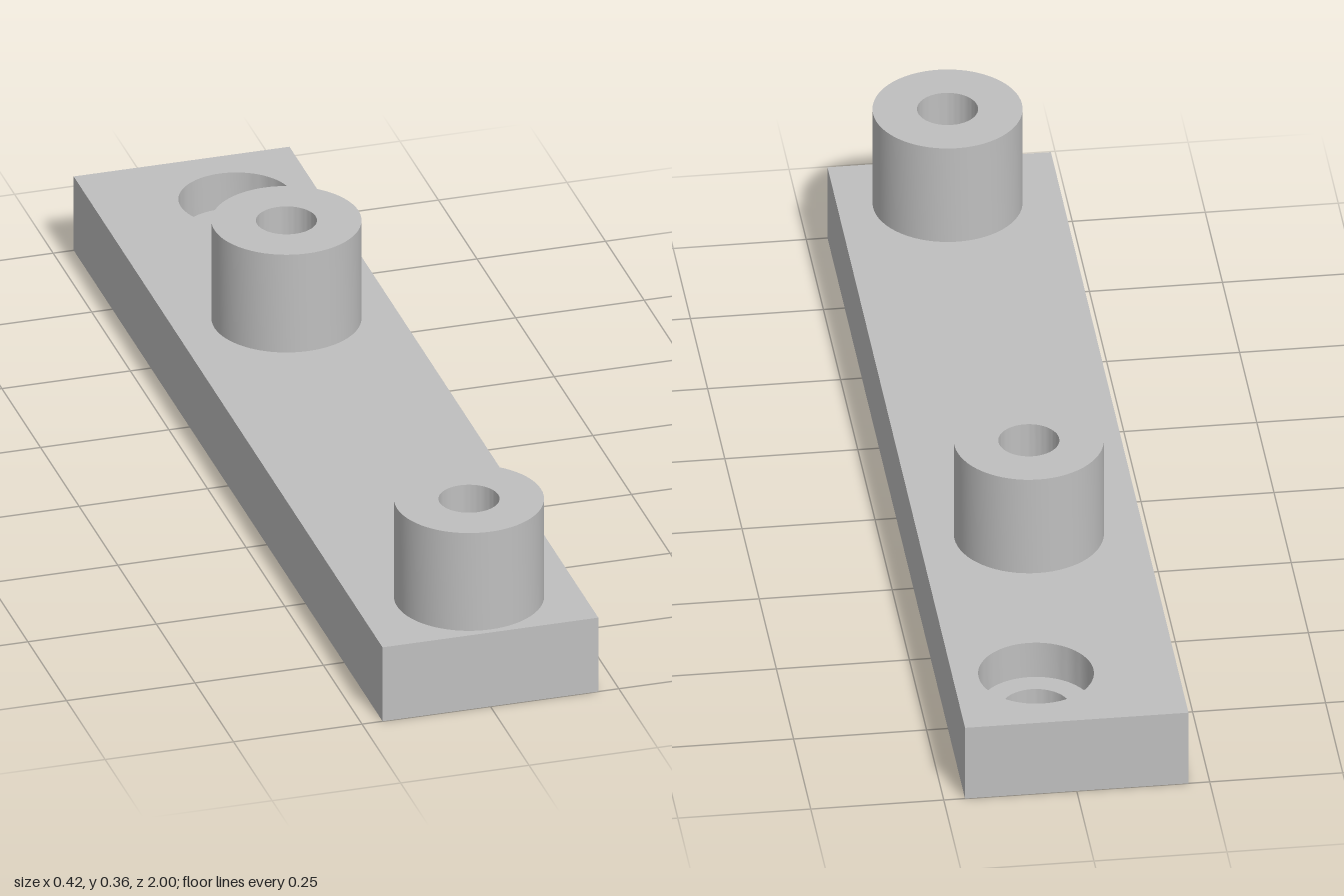
import * as THREE from 'three';
import { toCreasedNormals } from 'three/addons/utils/BufferGeometryUtils.js';

const SEGMENTS = 64;
const HALF_W = 0.21, HALF_L = 1, THICK = 0.155;
const BOSS = { r: 0.14, bore: 0.057, top: 0.36, floor: THICK, x: 0.004, z: [0.848, -0.334] };
const SCREW = { x: 0.054, z: -0.825, head: 0.108, shank: 0.065, ledge: 0.08 };

export function createModel() {
  const grey = new THREE.MeshStandardMaterial({ color: 0xbfbfbf });
  grey.name = 'plain grey';
  const model = new THREE.Group();
  model.name = 'mountingBar';

  const add = (name, geometry, parent = model) => {
    const mesh = new THREE.Mesh(geometry, grey);
    mesh.name = name;
    parent.add(mesh);
    return mesh;
  };

  // Horizontal plate face with round openings; facing is 1 for up, -1 for down
  const plateFace = (facing, openings) => {
    const shape = new THREE.Shape([
      new THREE.Vector2(-HALF_W, -HALF_L), new THREE.Vector2(HALF_W, -HALF_L),
      new THREE.Vector2(HALF_W, HALF_L), new THREE.Vector2(-HALF_W, HALF_L),
    ]);
    for (const [x, z, r] of openings) {
      shape.holes.push(new THREE.Path().absarc(x, -facing * z, r, 0, Math.PI * 2, true));
    }
    return new THREE.ShapeGeometry(shape, SEGMENTS / 2).rotateX(-facing * Math.PI / 2);
  };

  // Turned surface with crisp edges from [radius, height] pairs
  const turned = (profile) => toCreasedNormals(
    new THREE.LatheGeometry(profile.map(([r, y]) => new THREE.Vector2(r, y)), SEGMENTS), 0.5);

  // Plate: top, underside and four edges
  const plate = new THREE.Group();
  plate.name = 'plate';
  model.add(plate);
  add('plateTop', plateFace(1, [
    ...BOSS.z.map((z) => [BOSS.x, z, BOSS.r]),
    [SCREW.x, SCREW.z, SCREW.head],
  ]), plate).position.y = THICK;
  add('plateUnderside', plateFace(-1, [[SCREW.x, SCREW.z, SCREW.shank]]), plate);
  ['frontEdge', 'leftEdge', 'backEdge', 'rightEdge'].forEach((name, i) => {
    const [width, offset] = i % 2 ? [HALF_L * 2, HALF_W] : [HALF_W * 2, HALF_L];
    add(name, new THREE.PlaneGeometry(width, THICK)
      .translate(0, THICK / 2, offset).rotateY(i * Math.PI / 2), plate);
  });

  // Counterbored through hole near the back
  add('counterboredHole', turned([
    [SCREW.head, THICK], [SCREW.head, SCREW.ledge],
    [SCREW.shank, SCREW.ledge], [SCREW.shank, 0],
  ]), plate).position.set(SCREW.x, 0, SCREW.z);

  // Two round bosses with blind bores
  BOSS.z.forEach((z, i) => {
    add(i ? 'middleBoss' : 'frontBoss', turned([
      [BOSS.r, THICK], [BOSS.r, BOSS.top], [BOSS.bore, BOSS.top],
      [BOSS.bore, BOSS.floor], [0, BOSS.floor],
    ])).position.set(BOSS.x, 0, z);
  });

  return model;
}
